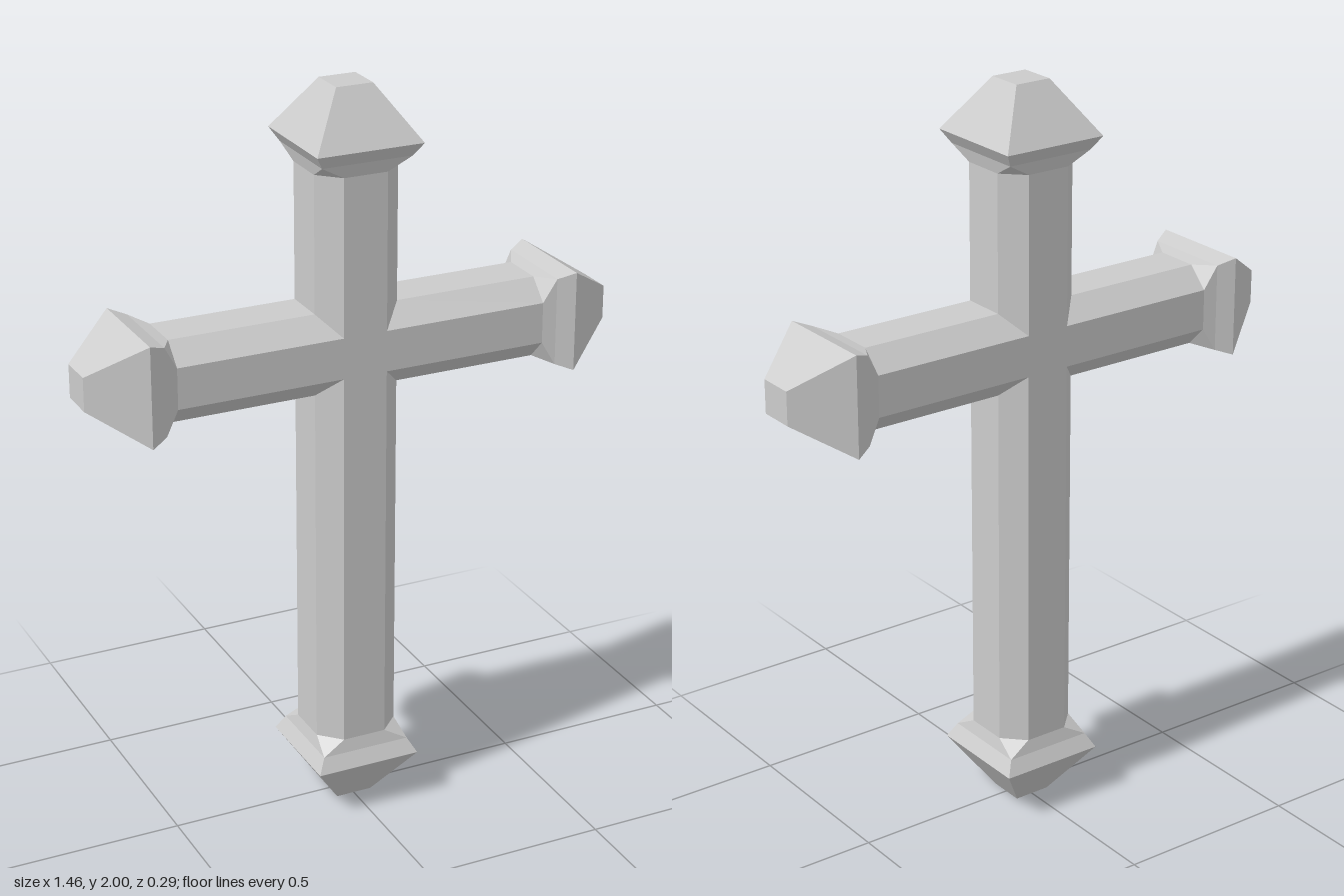
import * as THREE from 'three';

const CENTRE_Y = 1.315;
const DEPTH = { half: 0.115, flat: 0.06 };
const POST = { half: 0.115, flat: 0.06, knob: 0.145, tip: 0.05 };
const BEAM = { half: 0.11, flat: 0.055, knob: 0.135, tip: 0.045 };

// Eight points around the arm axis (+y): a chamfered rectangle, or a plain one when flat = half.
function ring(hu, fu, hz, fz, height) {
  const points = [];
  [[1, 1], [1, -1], [-1, -1], [-1, 1]].forEach(([su, sz], i) => {
    const pair = [[fu, hz], [hu, fz]];
    if (i % 2) pair.reverse();
    for (const [u, z] of pair) points.push(new THREE.Vector3(su * u, height(u), sz * z));
  });
  return points;
}

// One arm: mitred at the crossing, chamfered bar, flare and tapered knob.
function armGeometry(size, crossing, [bar, notch, knob, tip]) {
  const rect = (u, z, y) => ring(u, u, z, z, () => y);
  const rings = [
    ring(size.half, size.flat, DEPTH.half, DEPTH.flat,
      (u) => (u === size.half ? crossing.half : crossing.flat)),
    ring(size.half, size.flat, DEPTH.half, DEPTH.flat, () => bar),
    rect(size.half + 0.008, DEPTH.half + 0.009, notch),
    rect(size.knob, 0.145, knob),
    rect(size.tip, 0.05, tip),
  ];
  const corners = [];
  const triangle = (a, b, c) => {
    const area = b.clone().sub(a).cross(c.clone().sub(a)).length();
    if (area > 1e-8) corners.push(a, b, c);
  };
  for (let r = 0; r < rings.length - 1; r++) {
    const low = rings[r], high = rings[r + 1];
    for (let i = 0; i < 8; i++) {
      const j = (i + 1) % 8;
      triangle(low[i], low[j], high[j]);
      triangle(low[i], high[j], high[i]);
    }
  }
  const end = rings[rings.length - 1];
  triangle(end[0], end[2], end[4]);
  triangle(end[0], end[4], end[6]);
  const geometry = new THREE.BufferGeometry().setFromPoints(corners);
  geometry.computeVertexNormals();
  return geometry;
}

export function createModel() {
  const model = new THREE.Group();
  model.name = 'cross';
  const material = new THREE.MeshStandardMaterial({ color: 0xcccccc, flatShading: true });

  const add = (name, geometry, angle = 0) => {
    const mesh = new THREE.Mesh(geometry, material);
    mesh.name = name;
    mesh.position.y = CENTRE_Y;
    mesh.rotation.z = angle;
    model.add(mesh);
  };

  // Upright post
  add('topArm', armGeometry(POST, BEAM, [0.475, 0.51, 0.545, 0.685]));
  add('bottomArm', armGeometry(POST, BEAM, [1.1, 1.135, 1.175, 1.315]), Math.PI);

  // Crossbeam
  const side = armGeometry(BEAM, POST, [0.51, 0.545, 0.59, 0.73]);
  add('leftArm', side, -Math.PI / 2);
  add('rightArm', side, Math.PI / 2);

  // Flat faces where the arms meet
  add('crossing', new THREE.BoxGeometry(2 * POST.flat, 2 * BEAM.flat, 2 * DEPTH.half));
  return model;
}
